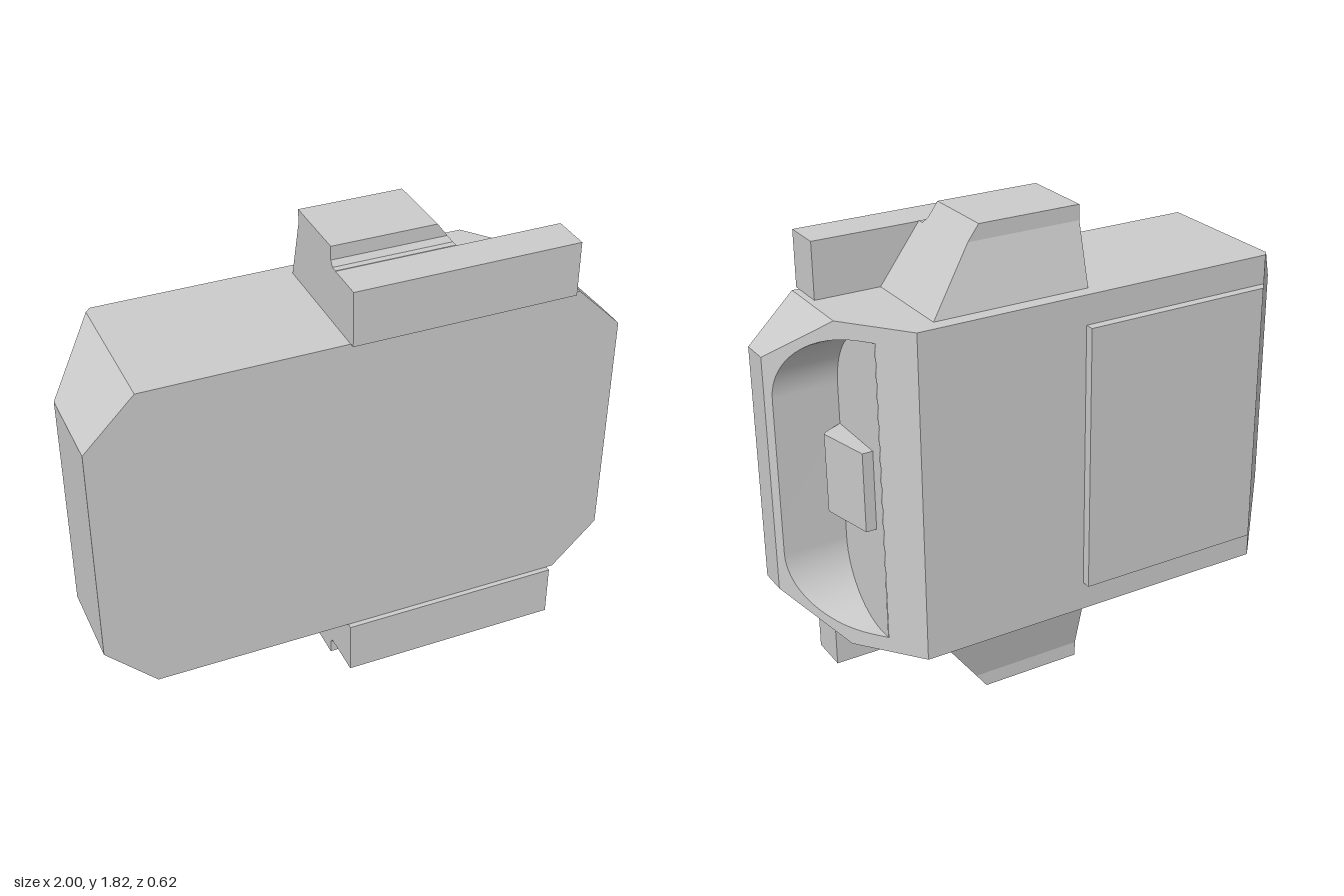
import * as THREE from 'three';

const MID = 0.911;                       // height of the horizontal symmetry plane
const H = 0.627, L = 0.435, R = 0.455;   // half heights: body, left end, right end
const FLOOR = 0.735;                     // x of the pocket floor
const slopeX = z => 0.64 + (z + 0.28) * (0.36 / 0.46);

const grey = new THREE.MeshStandardMaterial({ color: 0xcccccc, flatShading: true });
const greySmooth = new THREE.MeshStandardMaterial({ color: 0xcccccc, side: THREE.DoubleSide });

function add(group, name, geometry, material = grey) {
  const mesh = new THREE.Mesh(geometry, material);
  mesh.name = name;
  group.add(mesh);
  return mesh;
}

// Flat convex faces, each wound so it points away from the origin
function convexFaces(faces) {
  const out = [];
  for (const face of faces) {
    const p = face.map(c => new THREE.Vector3(...c));
    const n = p[1].clone().sub(p[0]).cross(p[2].clone().sub(p[0]));
    if (n.dot(p[0]) < 0) p.reverse();
    for (let i = 1; i < p.length - 1; i++) {
      for (const v of [p[0], p[i], p[i + 1]]) out.push(v.x, v.y, v.z);
    }
  }
  const g = new THREE.BufferGeometry();
  g.setAttribute('position', new THREE.Float32BufferAttribute(out, 3));
  g.computeVertexNormals();
  return g;
}

// Shape drawn in (-z, y), stood up facing +x at a depth given by a rule
function sideFace(shape, xAt) {
  const g = new THREE.ShapeGeometry(shape);
  const p = g.attributes.position;
  for (let i = 0; i < p.count; i++) {
    const z = -p.getX(i);
    p.setXYZ(i, xAt(z), p.getY(i), z);
  }
  g.computeVertexNormals();
  return g;
}

// Prism with an (x, z) outline, running from y0 to y1
function uprightPrism(points, y0, y1) {
  const shape = new THREE.Shape(points.map(([x, z]) => new THREE.Vector2(x, -z)));
  const g = new THREE.ExtrudeGeometry(shape, { depth: y1 - y0, bevelEnabled: false });
  return g.rotateX(-Math.PI / 2).translate(0, y0, 0);
}

// Pocket outline in (-z, y): straight back edge, round front corners
function pocketOutline() {
  const pts = [new THREE.Vector2(0.16, 0.568)];
  const r = 0.265, n = 14;
  for (const s of [1, -1]) {
    for (let i = 0; i <= n; i++) {
      const a = (s > 0 ? i : n - i) / n * Math.PI / 2;
      pts.push(new THREE.Vector2(0.11 - r * Math.sin(a), s * (0.303 + r * Math.cos(a))));
    }
  }
  pts.push(new THREE.Vector2(0.16, -0.568));
  return pts;
}

// Strip joining the sloped rim of the pocket to its floor
function pocketWall(pts) {
  const pos = [], idx = [];
  pts.forEach((p, i) => {
    pos.push(slopeX(-p.x), p.y, -p.x, FLOOR, p.y, -p.x);
    if (i) {
      const a = 2 * i - 2;
      idx.push(a, a + 2, a + 1, a + 1, a + 2, a + 3);
    }
  });
  const g = new THREE.BufferGeometry();
  g.setAttribute('position', new THREE.Float32BufferAttribute(pos, 3));
  g.setIndex(idx);
  g.computeVertexNormals();
  return g;
}

// Hump on the top (s = 1) or bottom (s = -1), its right end slanted
function humpGeometry(s) {
  const section = [[0.16, 1.53], [0.16, 1.75], [0.135, 1.75], [0.12, 1.77], [0.12, 1.822],
    [-0.165, 1.822], [-0.165, 1.765], [-0.228, 1.53]];
  const shape = new THREE.Shape(section.map(([z, y]) => new THREE.Vector2(-z, s * (y - MID))));
  const g = new THREE.ExtrudeGeometry(shape, { depth: 1, bevelEnabled: false });
  g.rotateY(Math.PI / 2);
  const p = g.attributes.position;
  for (let i = 0; i < p.count; i++) {
    const drop = 1.822 - MID - Math.abs(p.getY(i));
    p.setX(i, p.getX(i) > 0.5 ? 0.34 + drop * 0.74 : -0.055);
  }
  g.computeVertexNormals();
  return g;
}

export function createModel() {
  const model = new THREE.Group();
  model.name = 'model';
  const core = new THREE.Group();
  core.name = 'housing';
  core.position.y = MID;
  model.add(core);

  // Body shell, all but the sloped right face
  const F = 0.29, zc = slopeX(0) && -0.28 + (0.825 - 0.64) * (0.46 / 0.36);
  const faces = [
    [[-1, -L, F], [-0.81, -H, F], [0.825, -H, F], [1, -R, F],
      [1, R, F], [0.825, H, F], [-0.81, H, F], [-1, L, F]],
    [[-1, L, F], [-1, -L, F], [-1, -L, -0.05], [-1, L, -0.05]],
    [[1, R, F], [1, -R, F], [1, -R, 0.18], [1, R, 0.18]],
    [[0.64, H, -0.28], [0.64, -H, -0.28], [-0.79, -H, -0.28], [-0.79, H, -0.28]],
    [[-1, L, -0.05], [-1, -L, -0.05], [-0.81, -H, -0.258],
      [-0.79, -H, -0.28], [-0.79, H, -0.28], [-0.81, H, -0.258]],
  ];
  for (const s of [1, -1]) {
    const h = s * H, l = s * L, r = s * R;
    faces.push(
      [[-0.81, h, F], [0.825, h, F], [0.825, h, zc], [0.64, h, -0.28], [-0.79, h, -0.28], [-0.81, h, -0.258]],
      [[-1, l, F], [-0.81, h, F], [-0.81, h, -0.258], [-1, l, -0.05]],
      [[1, r, F], [1, r, 0.18], [0.825, h, zc], [0.825, h, F]],
    );
  }
  add(core, 'body', convexFaces(faces));

  // Sloped right face with the recessed pocket
  const outline = pocketOutline();
  const slope = new THREE.Shape([[-0.18, -R], [-zc, -H], [0.28, -H], [0.28, H], [-zc, H], [-0.18, R]]
    .map(([u, y]) => new THREE.Vector2(u, y)));
  slope.holes.push(new THREE.Path(outline));
  add(core, 'slopedFace', sideFace(slope, slopeX));
  add(core, 'pocketFloor', sideFace(new THREE.Shape(outline), () => FLOOR));
  add(core, 'pocketWall', pocketWall(outline), greySmooth);

  // Latch inside the pocket
  add(core, 'latch', uprightPrism([[0.73, -0.105], [0.775, -0.105], [0.82, 0.105],
    [0.805, 0.12], [0.735, 0.155], [0.73, 0.155]], -0.152, 0.152));

  // Raised panel on the back
  add(core, 'backPanel', uprightPrism([[-0.79, -0.28], [-0.76, -0.315], [-0.015, -0.315], [-0.015, -0.28]],
    -0.515, 0.515));

  // Rail and hump, above and below
  for (const s of [1, -1]) {
    const side = s > 0 ? 'top' : 'bottom';
    const rail = add(core, side + 'Rail', new THREE.BoxGeometry(0.855, 0.21, 0.15));
    rail.position.set(0.3725, s * (H + 0.105), 0.235);
    add(core, side + 'Hump', humpGeometry(s));
  }
  return model;
}
